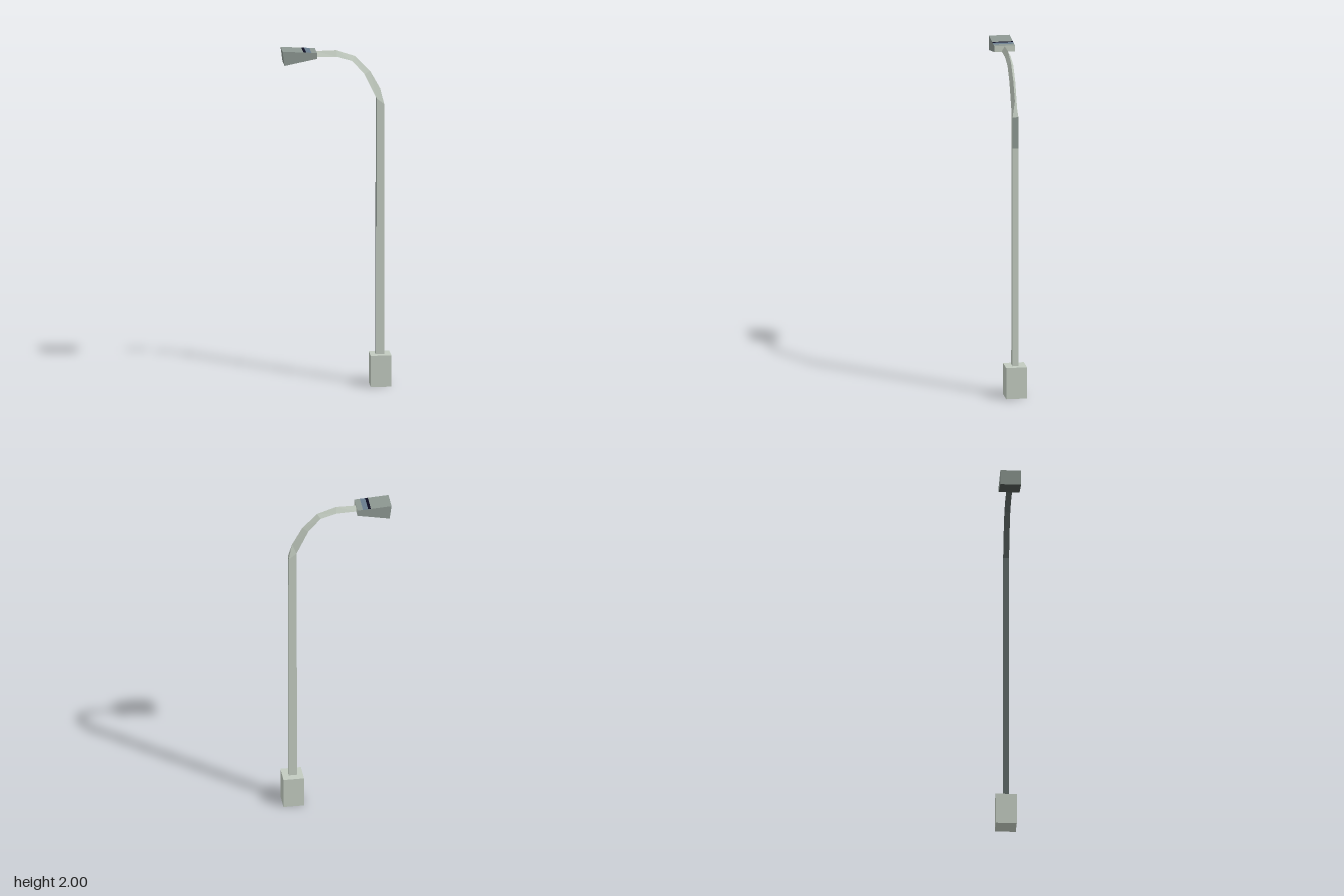
import * as THREE from 'three';

const material = (name, color) => Object.assign(new THREE.MeshStandardMaterial({ color }), { name });

// Flat-faced mesh from convex polygons, each a list of [x, y, z] corners
function facets(name, mat, polygons) {
  const pos = [];
  for (const p of polygons) {
    for (let i = 1; i < p.length - 1; i++) pos.push(...p[0], ...p[i], ...p[i + 1]);
  }
  const geo = new THREE.BufferGeometry();
  geo.setAttribute('position', new THREE.Float32BufferAttribute(pos, 3));
  geo.computeVertexNormals();
  const mesh = new THREE.Mesh(geo, mat);
  mesh.name = name;
  return mesh;
}

// A front polygon together with its mirror image at the back
const bothSides = (poly) => [poly, poly.map(([x, y, z]) => [x, y, -z]).reverse()];

// A strip across the depth for one counter-clockwise profile edge
const across = (a, b, z) => [[...a, z], [...a, -z], [...b, -z], [...b, z]];

export function createModel() {
  const group = new THREE.Group();
  const pale = material('paleMetal', 0xc2cbc0);
  const grey = material('greyMetal', 0x8d9892);
  const shade = material('innerMetal', 0x5c6664);
  const under = material('lampUnderside', 0x4e5652);
  const navy = material('navyStripe', 0x0c0c20);
  const blue = material('blueStripe', 0x6a7d8e);

  // Base block
  const base = new THREE.Mesh(new THREE.BoxGeometry(0.119, 0.185, 0.121), pale);
  base.name = 'base';
  base.position.set(0.2545, 0.0925, -0.001);
  group.add(base);

  // Curved arm: a triangular section with its ridge outward
  const w = 0.017;
  const ridge = [[0.255, 1.755], [0.197, 1.86], [0.11, 1.95], [0, 1.987], [-0.125, 1.985]];
  const inner = [[0.232, 1.7], [0.163, 1.845], [0.092, 1.925], [0, 1.952], [-0.125, 1.955]];
  const slopes = [], undersides = [];
  for (let i = 0; i < ridge.length - 1; i++) {
    slopes.push(...bothSides([
      [...inner[i], w], [...ridge[i], 0], [...ridge[i + 1], 0], [...inner[i + 1], w],
    ]));
    undersides.push(across(inner[i + 1], inner[i], w));
  }
  group.add(facets('arm', pale, slopes), facets('armUnderside', shade, undersides));

  // Square pole, tapering into the ridge of the arm
  const footIn = [0.228, 0.18], footOut = [0.277, 0.18];
  const joint = [0.277, 1.48], shoulder = [0.277, 1.665];
  group.add(
    facets('pole', pale, [
      ...bothSides([[...footIn, w], [...footOut, w], [...shoulder, w], [...inner[0], w]]),
      ...bothSides([[...shoulder, w], [...ridge[0], 0], [...inner[0], w]]),
      [[...shoulder, w], [...shoulder, -w], [...ridge[0], 0]],
      across(footOut, joint, w),
    ]),
    facets('poleUpperPanel', grey, [across(joint, shoulder, w)]),
    facets('poleInnerFace', shade, [across(inner[0], footIn, w)]),
  );

  // Wedge-shaped lamp head, its top divided into coloured bands
  const d = 0.06;
  const lowOut = [-0.305, 1.916], lowIn = [-0.118, 1.953], topIn = [-0.118, 1.988], topOut = [-0.316, 2];
  const top = (x) => [x, 1.988 + (0.012 * (-0.118 - x)) / 0.198];
  const band = (x0, x1) => across(top(x0), top(x1), d);
  group.add(
    facets('lampHousing', grey, [
      ...bothSides([lowOut, lowIn, topIn, topOut].map((p) => [...p, d])),
      across(topOut, lowOut, d),
      band(-0.118, -0.15),
      band(-0.196, -0.316),
    ]),
    facets('lampInnerEnd', pale, [across(lowIn, topIn, d)]),
    facets('lampUnderside', under, [across(lowOut, lowIn, d)]),
    facets('lampBlueBand', blue, [band(-0.15, -0.18)]),
    facets('lampNavyBand', navy, [band(-0.18, -0.196)]),
  );
  return group;
}
